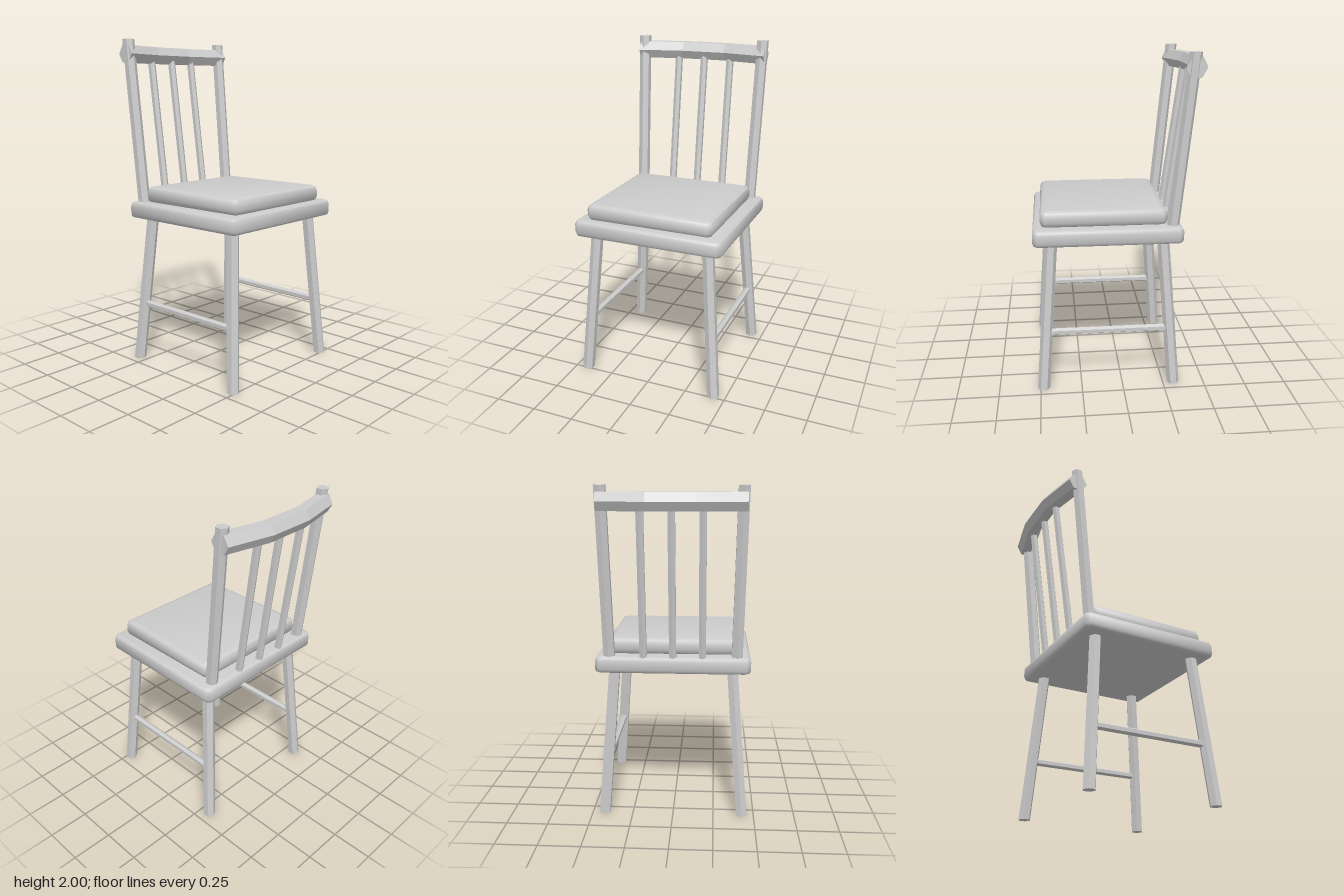
import * as THREE from 'three';
import { toCreasedNormals } from 'three/addons/utils/BufferGeometryUtils.js';

const wood = new THREE.MeshStandardMaterial({ color: 0xcccccc });
wood.name = 'plain grey';

export function createModel() {
  const chair = new THREE.Group();
  chair.name = 'chair';

  const add = (name, geometry, crease = 0.5) => {
    const mesh = new THREE.Mesh(toCreasedNormals(geometry, crease), wood);
    mesh.name = name;
    chair.add(mesh);
    return mesh;
  };

  // Leaning six-sided rod with level ends
  const rod = (name, a, b, radius) => {
    const g = new THREE.CylinderGeometry(radius, radius, 1, 6);
    const p = g.attributes.position;
    for (let i = 0; i < p.count; i++) {
      const t = p.getY(i) + 0.5;
      p.setXYZ(i,
        p.getX(i) + a[0] + (b[0] - a[0]) * t,
        a[1] + (b[1] - a[1]) * t,
        p.getZ(i) + a[2] + (b[2] - a[2]) * t);
    }
    return add(name, g);
  };

  // Soft-edged slab with clipped corners
  const slab = (name, [x0, x1], [y0, y1], [z0, z1], clip, bevel) => {
    const w = (x1 - x0) / 2, d = (z1 - z0) / 2;
    const shape = new THREE.Shape([
      [w - clip, -d], [w, -d + clip], [w, d - clip], [w - clip, d],
      [-w + clip, d], [-w, d - clip], [-w, -d + clip], [-w + clip, -d],
    ].map(([x, y]) => new THREE.Vector2(x, y)));
    const g = new THREE.ExtrudeGeometry(shape, {
      depth: y1 - y0 - 2 * bevel, bevelThickness: bevel, bevelSize: bevel,
      bevelOffset: -bevel, bevelSegments: 2,
    });
    g.rotateX(-Math.PI / 2);
    g.translate((x0 + x1) / 2, y0 + bevel, (z0 + z1) / 2);
    return add(name, g, 0.9);
  };

  // Seat board and cushion
  slab('seat', [-0.462, 0.462], [0.91, 1.01], [-0.357, 0.522], 0.025, 0.025);
  slab('cushion', [-0.398, 0.393], [1.005, 1.105], [-0.27, 0.477], 0.025, 0.033);

  for (const [side, s] of [['left', 1], ['right', -1]]) {
    // Splayed legs and the stretcher between them
    rod(side + 'FrontLeg', [s * 0.425, 0, 0.482], [s * 0.355, 0.93, 0.415], 0.037);
    rod(side + 'BackLeg', [s * 0.425, 0, -0.313], [s * 0.355, 0.93, -0.246], 0.037);
    const stretcher = new THREE.CylinderGeometry(0.022, 0.022, 0.7, 6);
    stretcher.rotateX(Math.PI / 2);
    stretcher.translate(s * 0.398, 0.36, 0.08);
    add(side + 'Stretcher', stretcher);
    // Back post
    rod(side + 'Post', [s * 0.38, 1.0, -0.3], [s * 0.398, 2.0, -0.403], 0.037);
  }

  // Back spindles
  [-0.175, 0, 0.175].forEach((x, i) =>
    rod('spindle' + (i + 1), [x, 1.0, -0.322], [x, 1.89, -0.445], 0.024));

  // Top rail, bent backwards in three straight runs
  const rail = new THREE.CylinderGeometry(0.06, 0.06, 3, 6, 3);
  rail.rotateZ(Math.PI / 2);
  const p = rail.attributes.position;
  for (let i = 0; i < p.count; i++) {
    const x = p.getX(i), end = Math.abs(x) > 1;
    p.setX(i, Math.sign(x) * (end ? 0.42 : 0.14));
    p.setZ(i, p.getZ(i) - (end ? 0.405 : 0.465));
  }
  add('topRail', rail, 0.15).position.y = 1.912;

  return chair;
}
